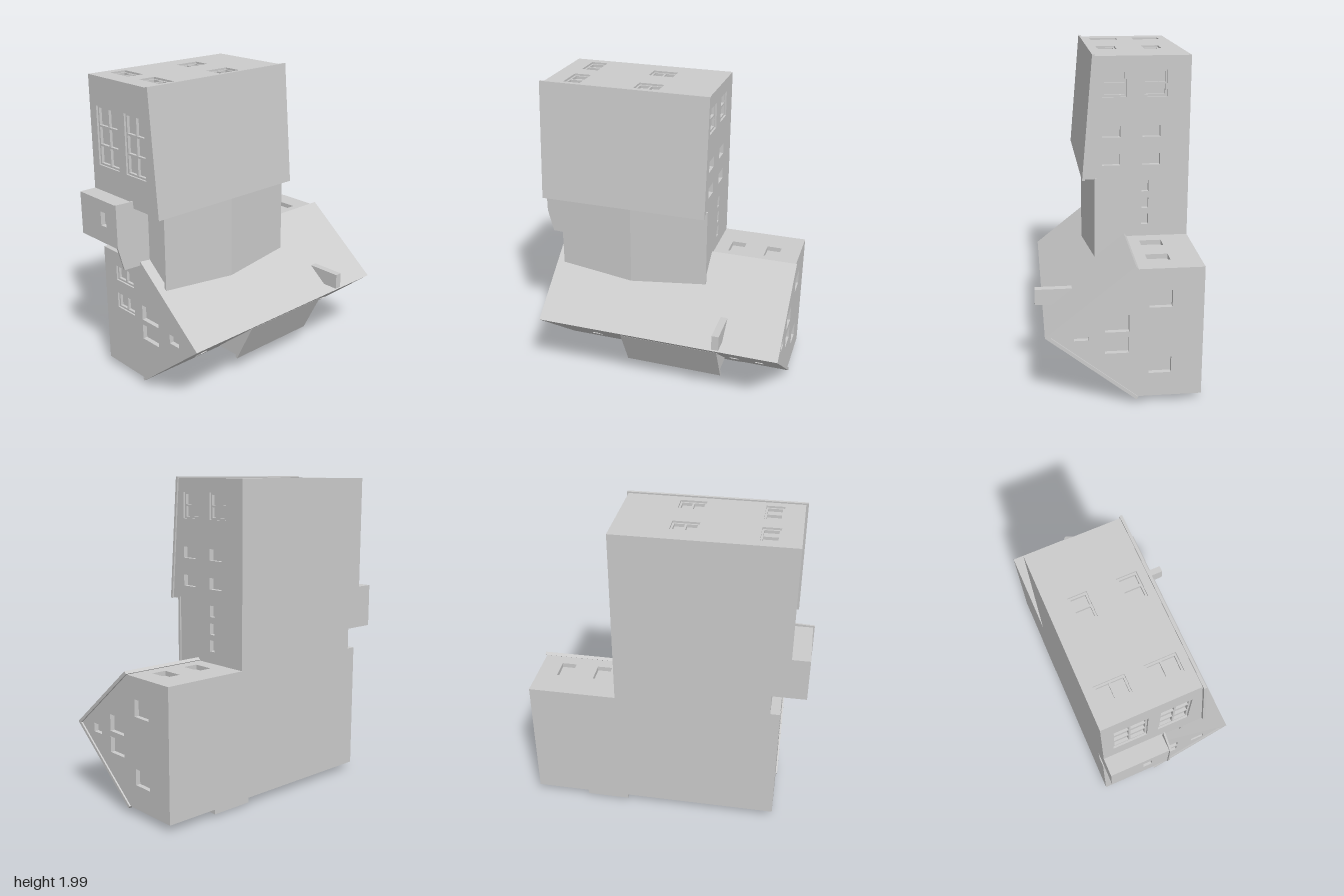
import * as THREE from 'three';

const D = 0.03; // wall thickness = window recess depth

export function createModel() {
  const group = new THREE.Group();
  const mat = new THREE.MeshStandardMaterial({ color: 0xcccccc, flatShading: true });
  const V = (x, y, z) => new THREE.Vector3(x, y, z);
  // Profile planes: axis x uses (y, z) points, axis y uses (z, x) points
  const basis = {
    x: new THREE.Matrix4().makeBasis(V(0, 1, 0), V(0, 0, 1), V(1, 0, 0)),
    y: new THREE.Matrix4().makeBasis(V(0, 0, 1), V(1, 0, 0), V(0, 1, 0)),
  };
  const rect = (u0, v0, u1, v1) => [[u0, v0], [u1, v0], [u1, v1], [u0, v1]];
  const vecs = (pts) => pts.map((p) => new THREE.Vector2(p[0], p[1]));

  // Straight prism of a profile from a to b along an axis
  function prism(name, axis, pts, a, b, holes = []) {
    const shape = new THREE.Shape(vecs(pts));
    holes.forEach((h) => shape.holes.push(new THREE.Path(vecs(h))));
    const geo = new THREE.ExtrudeGeometry(shape, { depth: b - a, bevelEnabled: false });
    geo.translate(0, 0, a);
    geo.applyMatrix4(basis[axis]);
    const mesh = new THREE.Mesh(geo, mat);
    mesh.name = name;
    group.add(mesh);
  }

  // Wall with window openings; windows are [u0, v0, u1, v1, panesU, panesV]
  function wall(name, axis, pts, pos, dir, windows) {
    const a = dir > 0 ? pos - D : pos, b = a + D;
    prism(name, axis, pts, a, b, windows.map((w) => rect(...w.slice(0, 4))));
    windows.forEach(([u0, v0, u1, v1, nu = 1, nv = 1]) => {
      if (nu * nv === 1) return;
      const bar = 0.012, panes = [];
      const pu = (u1 - u0 - bar) / nu, pv = (v1 - v0 - bar) / nv;
      for (let i = 0; i < nu; i++) for (let j = 0; j < nv; j++) {
        const u = u0 + bar + i * pu, v = v0 + bar + j * pv;
        panes.push(rect(u, v, u + pu - bar, v + pv - bar));
      }
      const s = dir > 0 ? a : a + D * 0.4;
      prism('windowFrame', axis, rect(u0, v0, u1, v1), s, s + D * 0.6, panes);
    });
  }

  // Lower wing: core and walls
  const gable = [[0.055, -0.485], [0.865, -0.485], [0.865, -0.09], [0.46, 0.412], [0.055, -0.1]];
  const core = [[0.085, -0.485], [0.835, -0.485], [0.835, -0.06], [0.46, 0.4], [0.085, -0.07]];
  prism('wingCore', 'x', core, -0.69, 0.835);
  wall('wingRightWall', 'x', gable, 0.865, 1, [
    [0.625, -0.3, 0.73, -0.165], [0.205, -0.3, 0.305, -0.165], [0.48, -0.05, 0.585, 0.09],
    [0.345, -0.05, 0.445, 0.09], [0.435, 0.185, 0.49, 0.27],
  ]);
  wall('wingLeftWall', 'x', gable, -0.72, -1, [
    [0.67, -0.36, 0.77, -0.18, 1, 2], [0.475, -0.36, 0.58, -0.18, 1, 2], [0.48, -0.1, 0.58, 0.06],
    [0.345, -0.1, 0.445, 0.06], [0.42, 0.17, 0.48, 0.26],
  ]);
  wall('wingTopWall', 'y', rect(-0.485, -0.72, -0.09, 0.865), 0.865, 1, [
    [-0.305, 0.4, -0.17, 0.495], [-0.305, 0.64, -0.17, 0.735],
  ]);
  const row = [0, 1, 2, 3, 4].map((i) => {
    const x = -0.43 + i * 0.152;
    return [-0.4, x - 0.06, -0.28, x + 0.06, 1, 2];
  });
  const entry = [-0.38, 0.29, -0.2, 0.49];
  wall('wingBottomWall', 'y', rect(-0.485, -0.72, -0.1, 0.865), 0.055, -1, [...row, entry]);
  prism('entrancePorch', 'y', rect(-0.485, 0.25, -0.115, 0.525), 0.025, 0.055, [rect(...entry)]);

  // Lower wing: pitched roof with entrance canopy
  prism('wingRoof', 'x', [[0.885, -0.085], [0.465, 0.437], [0.04, -0.095], [0.055, -0.107],
    [0.465, 0.405], [0.87, -0.1]], -0.73, 0.875);
  prism('entranceCanopy', 'x', [[0.06, -0.07], [0.01, -0.132], [0.025, -0.144], [0.075, -0.082]], 0.24, 0.54);
  prism('chimney', 'x', rect(0.51, 0.2, 0.61, 0.485), 0.465, 0.51);
  for (const x of [-0.44, 0.54, 0.71]) {
    prism('skylight', 'x', [[0.196, 0.109], [0.241, 0.165], [0.255, 0.155], [0.21, 0.099]], x - 0.025, x + 0.025);
  }

  // Wide dormer with a row of windows
  prism('dormerBody', 'x', [[0.38, 0.32], [0.155, 0.205], [0.155, 0], [0.3, 0.1]], -0.175, 0.45);
  const dormerWindows = Array.from({ length: 8 }, (_, i) => {
    const x = -0.155 + i * 0.075;
    return [0.075, x, 0.165, x + 0.06];
  });
  wall('dormerWall', 'y', rect(0.015, -0.175, 0.196, 0.45), 0.13, -1, dormerWindows);
  prism('dormerRoof', 'x', [[0.39, 0.347], [0.117, 0.208], [0.127, 0.192], [0.37, 0.315]], -0.19, 0.465);

  // Tall block: core and walls
  prism('towerCore', 'x', [[1.24, -0.485], [1.96, -0.485], [1.96, 0.09], [1.24, 0.15]], -0.73, 0.28);
  prism('towerLowerCore', 'x', rect(0.6, -0.485, 1.26, 0.085), -0.66, 0.28);
  const pairs = [];
  for (const z of [0.05, -0.195]) {
    pairs.push([1.745, z - 0.148, 1.905, z, 2, 1]);
    for (const y of [1.325, 1.5]) pairs.push([y, z - 0.11, y + 0.07, z]);
    for (const y of [0.94, 1.045, 1.155]) pairs.push([y, z - 0.042, y + 0.07, z]);
  }
  wall('towerRightWall', 'x', [[0.6, -0.485], [1.99, -0.485], [1.99, 0.094], [1.24, 0.157],
    [1.24, 0.085], [0.6, 0.085]], 0.31, 1, pairs);
  wall('towerLeftWall', 'x', [[1.24, -0.485], [1.99, -0.485], [1.99, 0.094], [1.24, 0.157]], -0.76, -1, [
    [1.44, -0.42, 1.81, -0.21, 3, 2], [1.44, -0.14, 1.81, 0.05, 3, 2],
  ]);
  wall('towerTopWall', 'y', rect(-0.485, -0.76, 0.094, 0.31), 1.99, 1, [
    [-0.43, -0.64, -0.25, -0.53, 2, 1], [-0.14, -0.64, 0.045, -0.53, 2, 1],
    [-0.36, -0.18, -0.25, -0.02, 1, 2], [-0.075, -0.18, 0.045, -0.02, 1, 2],
  ]);

  // Tall block: sloped roof and the low pitched roof below it
  prism('towerRoof', 'x', [[2, 0.11], [1.235, 0.175], [1.235, 0.158], [1.999, 0.094]], -0.775, 0.32);
  prism('linkGable', 'y', [[0, -0.66], [0.08, -0.66], [0.13, -0.18], [0.08, 0.31], [0, 0.31]], 0.6, 1.245);
  prism('linkRoof', 'y', [[0.1, -0.68], [0.145, -0.18], [0.1, 0.32], [0.083, 0.32], [0.125, -0.18], [0.083, -0.68]],
    0.6, 1.25);

  // Side bay with its overhanging roof
  prism('bayCore', 'y', rect(-0.485, -0.84, -0.11, -0.66), 1.0, 1.275);
  wall('bayWall', 'x', rect(1.0, -0.485, 1.275, -0.11), -0.87, -1, [[1.11, -0.275, 1.2, -0.22]]);
  const bayRoof = new THREE.Shape(vecs([[-0.88, 1.285], [-0.88, 1.01], [-0.84, 0.86], [-0.65, 0.86], [-0.65, 1.285]]));
  const bayGeo = new THREE.ExtrudeGeometry(bayRoof, { depth: 0.012, bevelEnabled: false });
  const pos = bayGeo.attributes.position;
  for (let i = 0; i < pos.count; i++) pos.setZ(i, pos.getZ(i) - 0.11 + (pos.getX(i) + 0.88) * 0.08);
  bayGeo.computeVertexNormals();
  const bay = new THREE.Mesh(bayGeo, mat);
  bay.name = 'bayRoof';
  group.add(bay);

  return group;
}
